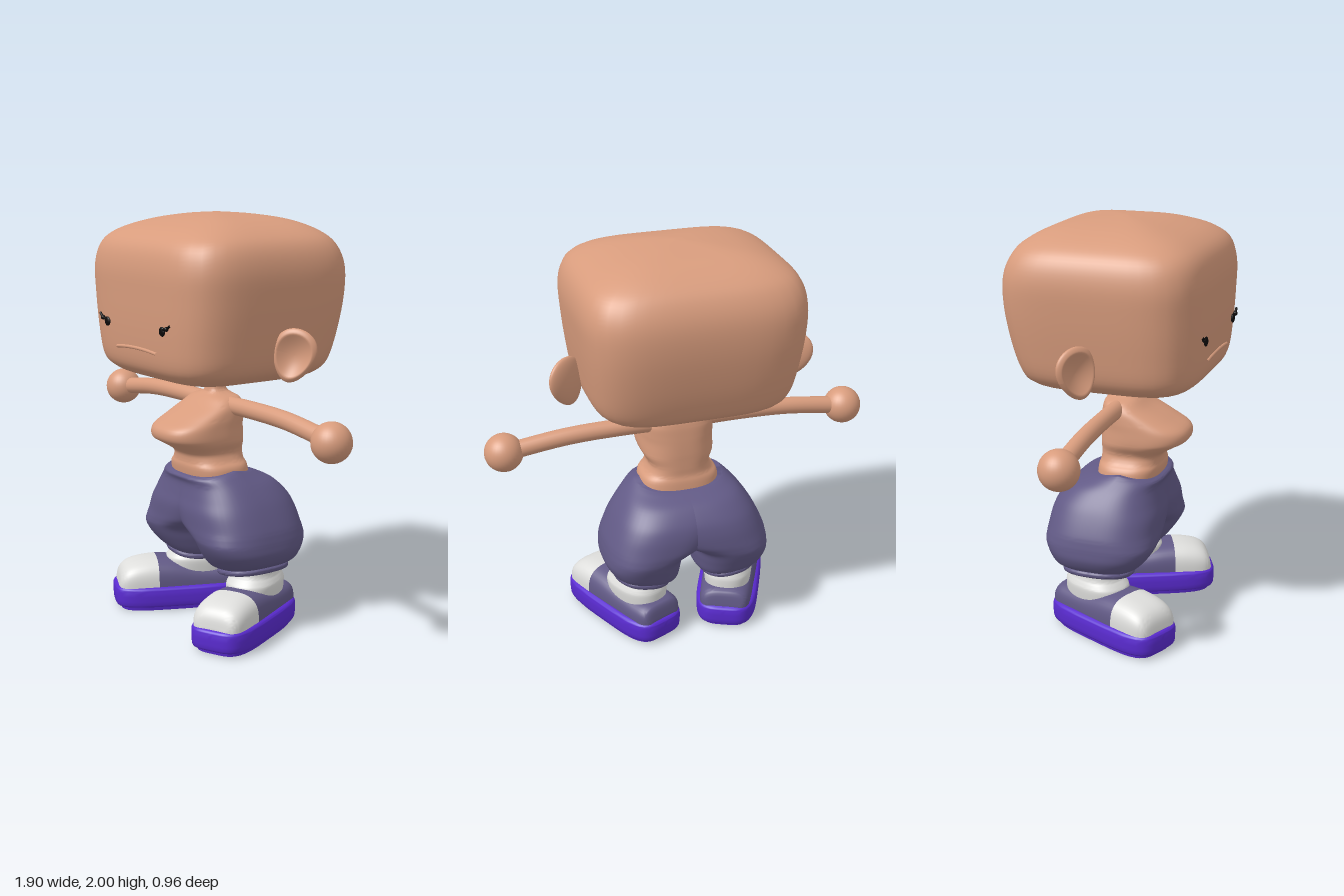
import * as THREE from 'three';
import { toCreasedNormals } from 'three/addons/utils/BufferGeometryUtils.js';

const mat = (name, color) => Object.assign(new THREE.MeshStandardMaterial({ color }), { name });
const V = (x, y, z) => new THREE.Vector3(x, y, z);

// Catmull-Rom interpolation of profile rows
function smooth(rows, steps = 5) {
  const out = [];
  const at = i => rows[Math.min(Math.max(i, 0), rows.length - 1)];
  for (let i = 0; i < rows.length - 1; i++) {
    for (let k = 0; k < steps; k++) {
      const t = k / steps;
      out.push(at(i).map((p1, c) => {
        const p0 = at(i - 1)[c], p2 = at(i + 1)[c], p3 = at(i + 2)[c];
        return p1 + 0.5 * t * (p2 - p0 + t * (2 * p0 - 5 * p1 + 4 * p2 - p3 + t * (3 * (p1 - p2) + p3 - p0)));
      }));
    }
  }
  out.push(at(rows.length - 1));
  return out;
}

// Unit superellipse as [x, y] pairs
function outline(n, count = 64) {
  return Array.from({ length: count }, (_, i) => {
    const a = (i / count) * Math.PI * 2, c = Math.cos(a), s = Math.sin(a);
    const r = (Math.abs(c) ** n + Math.abs(s) ** n) ** (-1 / n);
    return [c * r, s * r];
  });
}

// Closed skin through rings of equal point count, capped at both ends
function loft(rings, crease = 0.9) {
  const n = rings[0].length, last = (rings.length - 1) * n, index = [];
  const centre = ring => ring.reduce((a, p) => a.add(p), V(0, 0, 0)).divideScalar(n);
  const points = [...rings.flat(), centre(rings[0]), centre(rings[rings.length - 1])];
  const c0 = last + n, c1 = c0 + 1;
  for (let i = 0; i < n; i++) {
    const j = (i + 1) % n;
    for (let b = 0; b < last; b += n) index.push(b + i, b + n + i, b + j, b + j, b + n + i, b + n + j);
    index.push(c0, i, j, c1, last + j, last + i);
  }
  const g = new THREE.BufferGeometry().setFromPoints(points);
  g.setIndex(index);
  return toCreasedNormals(g, crease);
}

// Vertical loft, rows: [y, xMin, xMax, zFront, zBack, tilt, dip]
function column(rows, n, steps = 5) {
  const shape = outline(n);
  return loft(smooth(rows, steps).map(([y, x0, x1, zf, zb, tilt = 0, dip = 0]) => shape.map(([u, v]) => {
    const dx = u * (x1 - x0) / 2;
    return V((x0 + x1) / 2 + dx, y + tilt * dx - dip * Math.abs(v), (zf + zb) / 2 + v * (zf - zb) / 2);
  })));
}
const even = rows => rows.map(([y, w, zf, zb]) => [y, -w, w, zf, zb]);

// Lengthwise loft with flat base, rows from toe to heel: [z, halfWidth, height]
function hull(rows, base) {
  const shape = outline(3);
  return loft(smooth(rows, 4).map(([z, w, h]) => shape.map(([u, v]) => V(u * w, base + Math.max(0, v) * h, z))));
}

export function createModel() {
  const skin = mat('skin', 0xd89c7d), cloth = mat('cloth', 0x625a86), white = mat('white', 0xdededc);
  const purple = mat('sole purple', 0x5a2bd0), black = mat('black', 0x0c0a0a);
  const model = new THREE.Group();
  const add = (name, geo, material, parent = model) => {
    const m = new THREE.Mesh(geo, material);
    m.name = name;
    parent.add(m);
    return m;
  };

  // Boxy rounded head
  add('head', column(even([
    [1.21, 0.02, 0.02, -0.02], [1.215, 0.2, 0.2, -0.17], [1.235, 0.34, 0.33, -0.3], [1.265, 0.42, 0.4, -0.37],
    [1.32, 0.47, 0.44, -0.41], [1.45, 0.495, 0.457, -0.45], [1.62, 0.515, 0.465, -0.478],
    [1.76, 0.52, 0.465, -0.475], [1.86, 0.49, 0.435, -0.435], [1.92, 0.42, 0.36, -0.37],
    [1.965, 0.3, 0.23, -0.27], [1.99, 0.15, 0.11, -0.14], [2.0, 0.01, 0.01, -0.01]]), 4.6), skin);

  // Mouth ridge
  add('mouth', new THREE.TubeGeometry(new THREE.QuadraticBezierCurve3(
    V(-0.168, 1.382, 0.452), V(0, 1.402, 0.456), V(0.168, 1.382, 0.452)), 24, 0.008, 8), skin);

  // Torso with jutting chest, running up into the neck
  add('torso', column(even([
    [0.68, 0.2, 0.18, -0.12], [0.79, 0.195, 0.2, -0.11], [0.83, 0.165, 0.198, -0.1], [0.87, 0.152, 0.21, -0.1],
    [0.915, 0.176, 0.28, -0.1], [0.945, 0.182, 0.325, -0.1], [0.995, 0.18, 0.32, -0.098],
    [1.04, 0.176, 0.24, -0.095], [1.09, 0.165, 0.14, -0.09], [1.125, 0.135, 0.09, -0.08],
    [1.142, 0.075, 0.065, -0.06], [1.165, 0.048, 0.055, -0.04], [1.23, 0.045, 0.052, -0.037]]), 2.7), skin);

  for (const s of [1, -1]) {
    const side = s > 0 ? 'left' : 'right';

    // Eye dot with angled lash
    const eye = add(side + 'Eye', new THREE.SphereGeometry(0.022, 20, 12), black);
    eye.scale.z = 0.4;
    eye.position.set(s * 0.235, 1.492, 0.464);
    add(side + 'Lash', new THREE.TubeGeometry(new THREE.CatmullRomCurve3([
      V(s * 0.22, 1.5, 0.464), V(s * 0.265, 1.505, 0.466), V(s * 0.302, 1.526, 0.463)]), 10, 0.006, 8), black);
    const tip = add(side + 'LashBlob', new THREE.SphereGeometry(0.011, 12, 8), black);
    tip.position.set(s * 0.272, 1.507, 0.466);

    // Cupped ear
    const earGeo = new THREE.SphereGeometry(1, 40, 40).rotateX(Math.PI / 2);
    const p = earGeo.attributes.position;
    for (let i = 0; i < p.count; i++) {
      const x = p.getX(i), y = p.getY(i), z = p.getZ(i), r = Math.hypot(x, y);
      const dent = z > 0 ? 1.35 * Math.max(0, 1 - (r / 0.82) ** 2) : 0;
      p.setXYZ(i, x * (0.86 + 0.2 * y) * 0.115, y * 0.125, (z - dent) * 0.034);
    }
    earGeo.computeVertexNormals();
    const ear = add(side + 'Ear', earGeo, skin);
    ear.position.set(s * 0.55, 1.38, -0.03);
    ear.rotation.set(0, s * 0.6, -s * 0.3);

    // Arm and ball hand
    add(side + 'Arm', new THREE.TubeGeometry(new THREE.CatmullRomCurve3([
      V(s * 0.06, 1.09, 0), V(s * 0.3, 1.093, 0), V(s * 0.55, 1.085, 0), V(s * 0.86, 1.045, 0)]), 32, 0.042, 20), skin);
    add(side + 'Hand', new THREE.SphereGeometry(0.092, 32, 24), skin).position.set(s * 0.857, 1.045, 0.005);

    // Baggy trouser leg; the halves merge above the crotch
    const leg = rows => rows.map(([y, a, b, zf, zb, t = 0, d = 0]) =>
      [y, s > 0 ? a : -b, s > 0 ? b : -a, zf, zb, s * t, d]);
    add(side + 'TrouserLeg', column(leg([
      [0.312, 0.1, 0.35, 0.1, -0.21, 0.15], [0.34, 0.05, 0.39, 0.15, -0.26, 0.12], [0.4, 0.033, 0.415, 0.2, -0.29, 0.05],
      [0.455, 0.02, 0.415, 0.23, -0.31], [0.49, -0.04, 0.41, 0.235, -0.315], [0.53, -0.12, 0.4, 0.235, -0.315],
      [0.6, -0.17, 0.37, 0.235, -0.305], [0.66, -0.2, 0.337, 0.222, -0.28], [0.72, -0.22, 0.292, 0.212, -0.225],
      [0.77, -0.23, 0.245, 0.222, -0.16, 0, 0.02], [0.792, -0.22, 0.22, 0.21, -0.125, 0, 0.03]]), 2.6), cloth);
    add(side + 'Cuff', column(leg([
      [0.288, 0.095, 0.355, 0.1, -0.215, 0.15], [0.294, 0.082, 0.368, 0.115, -0.225, 0.15],
      [0.312, 0.08, 0.37, 0.117, -0.227, 0.15], [0.322, 0.095, 0.355, 0.1, -0.215, 0.15]]), 2.4, 3), cloth);

    // Foot, toes turned out
    const foot = new THREE.Group();
    foot.name = side + 'Foot';
    foot.position.set(s * 0.288, 0, 0.04);
    foot.rotation.y = s * 0.43;
    model.add(foot);
    add('sock', column(even([
      [0.17, 0.115, 0.06, -0.27], [0.24, 0.122, 0.06, -0.27], [0.265, 0.115, 0.045, -0.265],
      [0.29, 0.104, 0.025, -0.255], [0.34, 0.1, 0.02, -0.25]]), 2.4), white, foot);
    add('soleTread', column(even([[0.003, 0.135, 0.3, -0.3], [0.03, 0.14, 0.305, -0.305]]), 4, 1), purple, foot);
    add('sole', column(even([
      [0.022, 0.143, 0.315, -0.315], [0.035, 0.155, 0.328, -0.328], [0.1, 0.157, 0.33, -0.33],
      [0.118, 0.151, 0.324, -0.324], [0.125, 0.138, 0.31, -0.31]]), 4, 3), purple, foot);
    add('toeCap', hull([
      [0.312, 0.07, 0.005], [0.303, 0.1, 0.055], [0.28, 0.12, 0.09], [0.24, 0.131, 0.112],
      [0.18, 0.136, 0.125], [0.115, 0.138, 0.13]], 0.121), white, foot);
    add('shoeUpper', hull([
      [0.115, 0.138, 0.13], [0.03, 0.137, 0.122], [-0.08, 0.134, 0.102], [-0.2, 0.131, 0.092],
      [-0.27, 0.124, 0.088], [-0.3, 0.108, 0.07], [-0.312, 0.085, 0.01]], 0.121), cloth, foot);
  }
  return model;
}
